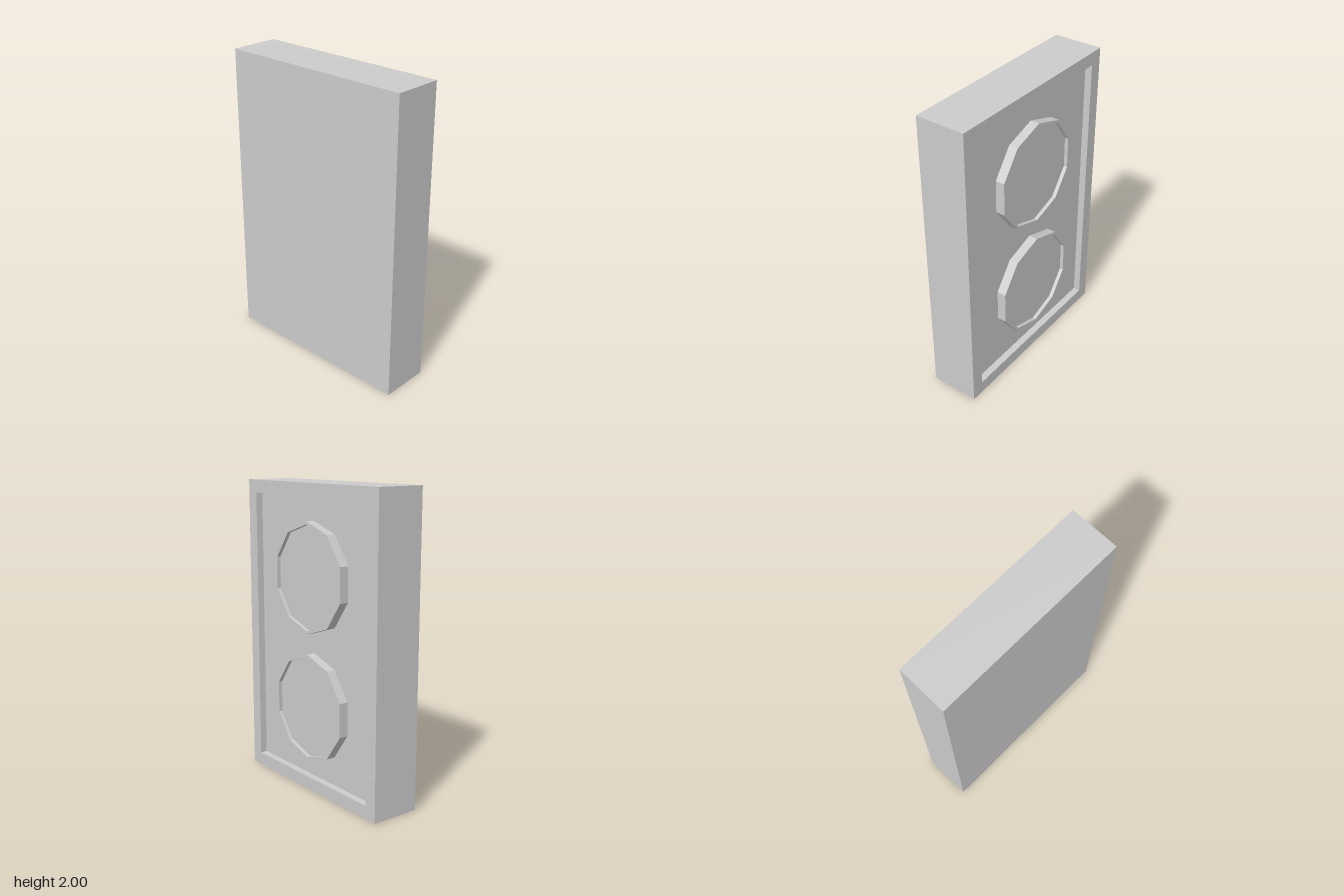
import * as THREE from 'three';

const material = new THREE.MeshStandardMaterial({ color: 0xcccccc, flatShading: true });

// Rectangular loops [halfWidth, halfHeight, z] joined in order, capped at both ends
function loopSolid(loops) {
  const corners = [[-1, -1], [1, -1], [1, 1], [-1, 1]];
  const pts = loops.map(([w, h, z]) => corners.map(([sx, sy]) => [sx * w, sy * h, z]));
  const out = [];
  const quad = (a, b, c, d) => [a, b, c, a, c, d].forEach((p) => out.push(...p));
  for (let k = 0; k < pts.length - 1; k++) {
    const a = pts[k], b = pts[k + 1];
    for (let i = 0; i < 4; i++) {
      const j = (i + 1) % 4;
      quad(a[i], b[i], b[j], a[j]);
    }
  }
  quad(...pts[0]);
  quad(...pts[pts.length - 1].slice().reverse());
  const geo = new THREE.BufferGeometry();
  geo.setAttribute('position', new THREE.Float32BufferAttribute(out, 3));
  geo.computeVertexNormals();
  return geo;
}

export function createModel() {
  const group = new THREE.Group();
  const W = 0.665, H = 1, margin = 0.086;
  const front = 0.172, back = -0.158, floor = -0.111, rimZ = -0.172;

  // Slab with a shallow recess in its back
  const body = new THREE.Mesh(loopSolid([
    [W, H, front],
    [W, H, back],
    [W - margin, H - margin, back],
    [W - margin, H - margin, floor],
  ]), material);
  body.name = 'recessedSlab';
  body.position.y = H;
  group.add(body);

  // Two ten-sided dishes standing on the recess floor, a corner pointing up
  const height = floor - rimZ;
  const profile = [[0.357, 0], [0.357, height], [0.337, height], [0.337, height - 0.025], [0, height - 0.025]]
    .map(([r, y]) => new THREE.Vector2(r, y));
  const dishGeo = new THREE.LatheGeometry(profile, 10).rotateX(-Math.PI / 2);
  [['upperDish', 1.41], ['lowerDish', 0.565]].forEach(([name, y]) => {
    const dish = new THREE.Mesh(dishGeo, material);
    dish.name = name;
    dish.position.set(0, y, floor);
    group.add(dish);
  });

  return group;
}
